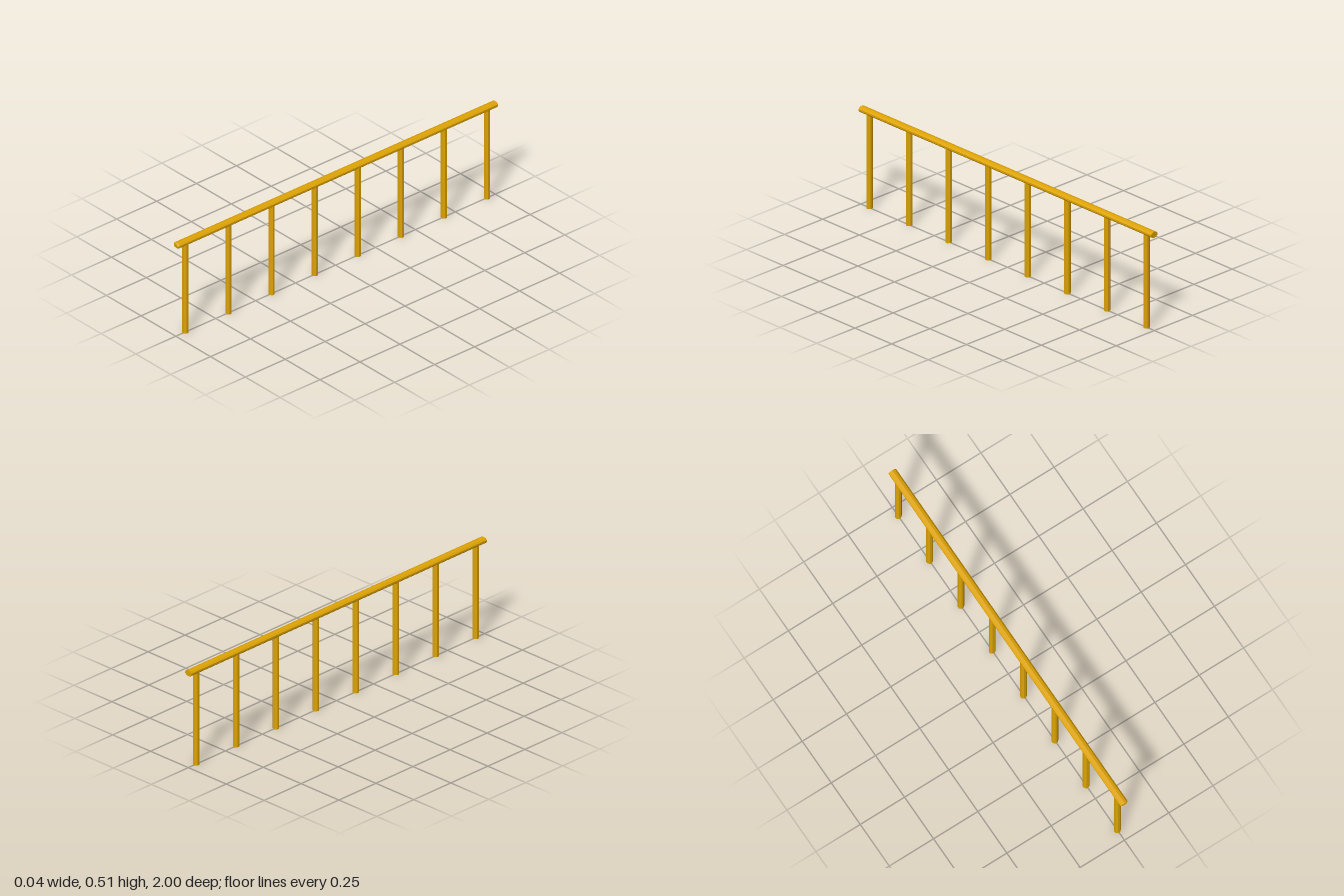
import * as THREE from 'three';

export function createModel() {
  const group = new THREE.Group();
  const wood = new THREE.MeshStandardMaterial({ color: 0xdfa404, flatShading: true });
  wood.name = 'golden yellow';

  // Handrail: faceted oval bar, chamfered at the front end
  const chamfer = 0.006;
  const profile = [[0, -1], [1, -1], [1, 1 - chamfer], [0.68, 1], [0, 1]]
    .map(([r, y]) => new THREE.Vector2(r, y));
  const railGeometry = new THREE.LatheGeometry(profile, 10);
  railGeometry.rotateX(Math.PI / 2);
  railGeometry.scale(0.022, 0.0155, 1);
  const rail = new THREE.Mesh(railGeometry, wood);
  rail.name = 'handrail';
  rail.position.y = 0.497;
  group.add(rail);

  // Posts: eight evenly spaced octagonal uprights with flats facing front and sides
  const height = 0.49;
  const radius = 0.0158 / Math.cos(Math.PI / 8);
  const postGeometry = new THREE.CylinderGeometry(radius, radius, height, 8);
  postGeometry.rotateY(Math.PI / 8);
  postGeometry.scale(1, 1, 0.9);
  for (let i = 0; i < 8; i++) {
    const post = new THREE.Mesh(postGeometry, wood);
    post.name = `post${i + 1}`;
    post.position.set(0, height / 2, 0.94 - 0.2697 * i);
    group.add(post);
  }
  return group;
}
